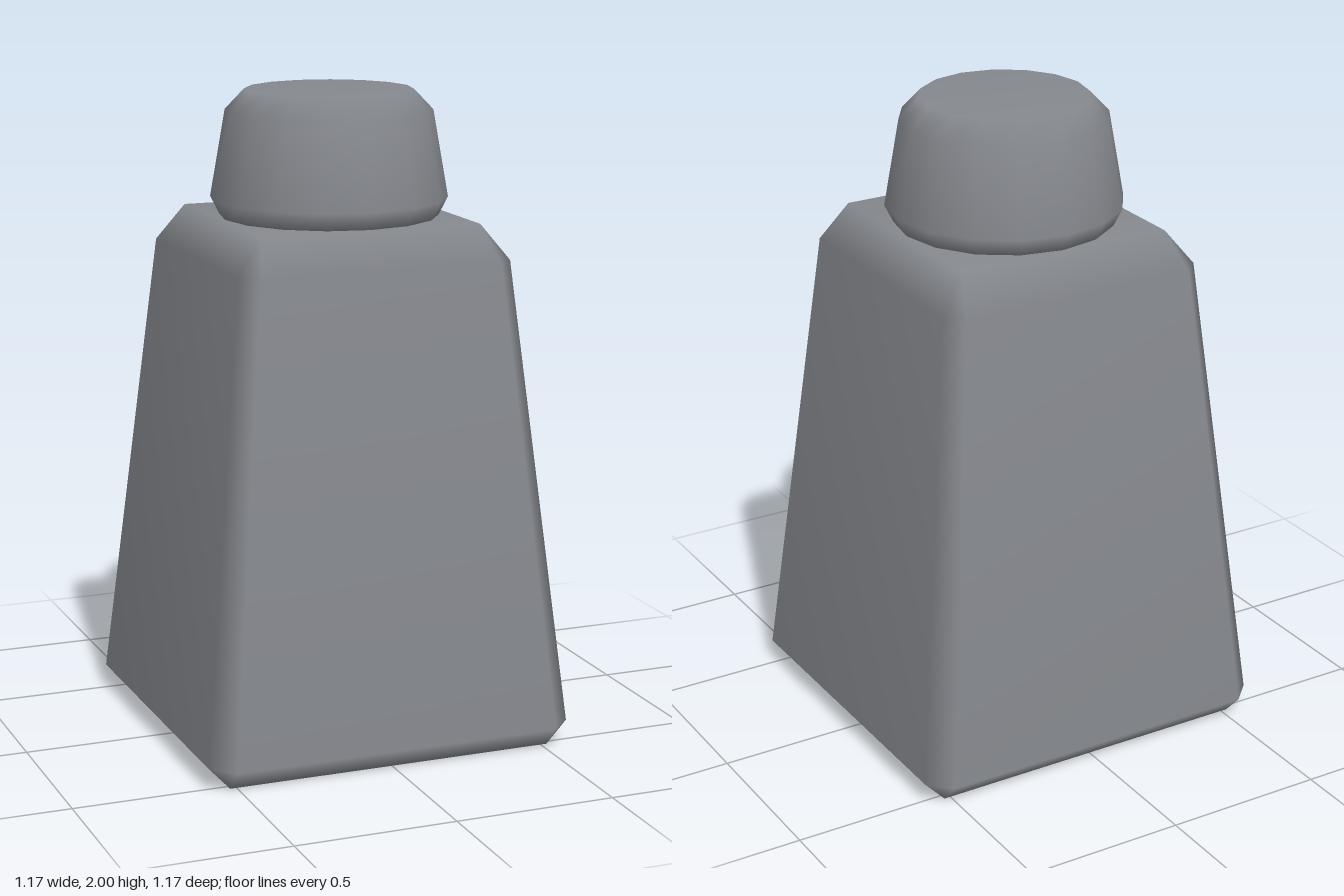
import * as THREE from 'three';

// Closed solid through stacked rings, with normals weighted by face area
function loft(rings) {
  const faces = [];
  for (let r = 0; r < rings.length - 1; r++) {
    const lo = rings[r], hi = rings[r + 1], n = lo.length;
    for (let i = 0; i < n; i++) {
      const j = (i + 1) % n;
      faces.push([lo[i], lo[j], hi[j], hi[i]]);
    }
  }
  faces.push([...rings[0]].reverse(), rings[rings.length - 1]);

  const key = (p) => p.toArray().map((v) => v.toFixed(4)).join();
  const normals = new Map();
  const position = [], normal = [], corners = [];
  for (const face of faces) {
    const area = new THREE.Vector3();
    for (let i = 1; i < face.length - 1; i++) {
      const cross = face[i].clone().sub(face[0]).cross(face[i + 1].clone().sub(face[0]));
      if (cross.length() < 1e-7) continue;
      area.add(cross);
      corners.push(face[0], face[i], face[i + 1]);
    }
    for (const k of new Set(face.map(key))) {
      if (!normals.has(k)) normals.set(k, new THREE.Vector3());
      normals.get(k).add(area);
    }
  }
  for (const n of normals.values()) n.normalize();
  for (const p of corners) {
    position.push(...p.toArray());
    normal.push(...normals.get(key(p)).toArray());
  }
  const geometry = new THREE.BufferGeometry();
  geometry.setAttribute('position', new THREE.Float32BufferAttribute(position, 3));
  geometry.setAttribute('normal', new THREE.Float32BufferAttribute(normal, 3));
  return geometry;
}

// Square ring of half width h whose straight edges end at c
function squareRing(y, h, c) {
  return [[h, c], [h, -c], [c, -h], [-c, -h], [-h, -c], [-h, c], [-c, h], [c, h]]
    .map(([x, z]) => new THREE.Vector3(x, y, z));
}

function roundRing(y, radius, sides = 16) {
  return Array.from({ length: sides }, (_, i) => {
    const a = (i / sides) * Math.PI * 2;
    return new THREE.Vector3(radius * Math.cos(a), y, -radius * Math.sin(a));
  });
}

export function createModel() {
  const group = new THREE.Group();
  group.name = 'bottle';
  const grey = new THREE.MeshStandardMaterial({ color: 0x85888d });
  grey.name = 'grey';

  // Tapered square body with bevelled edges
  const body = new THREE.Mesh(loft([
    squareRing(0, 0.52, 0.52),
    squareRing(0.07, 0.586, 0.52),
    squareRing(1.505, 0.435, 0.383),
    squareRing(1.615, 0.35, 0.35),
  ]), grey);
  body.name = 'body';

  // Tapered round cap with bevelled rims
  const cap = new THREE.Mesh(loft([
    roundRing(1.61, 0.335),
    roundRing(1.67, 0.365),
    roundRing(1.937, 0.318),
    roundRing(2, 0.258),
  ]), grey);
  cap.name = 'cap';

  group.add(body, cap);
  return group;
}
